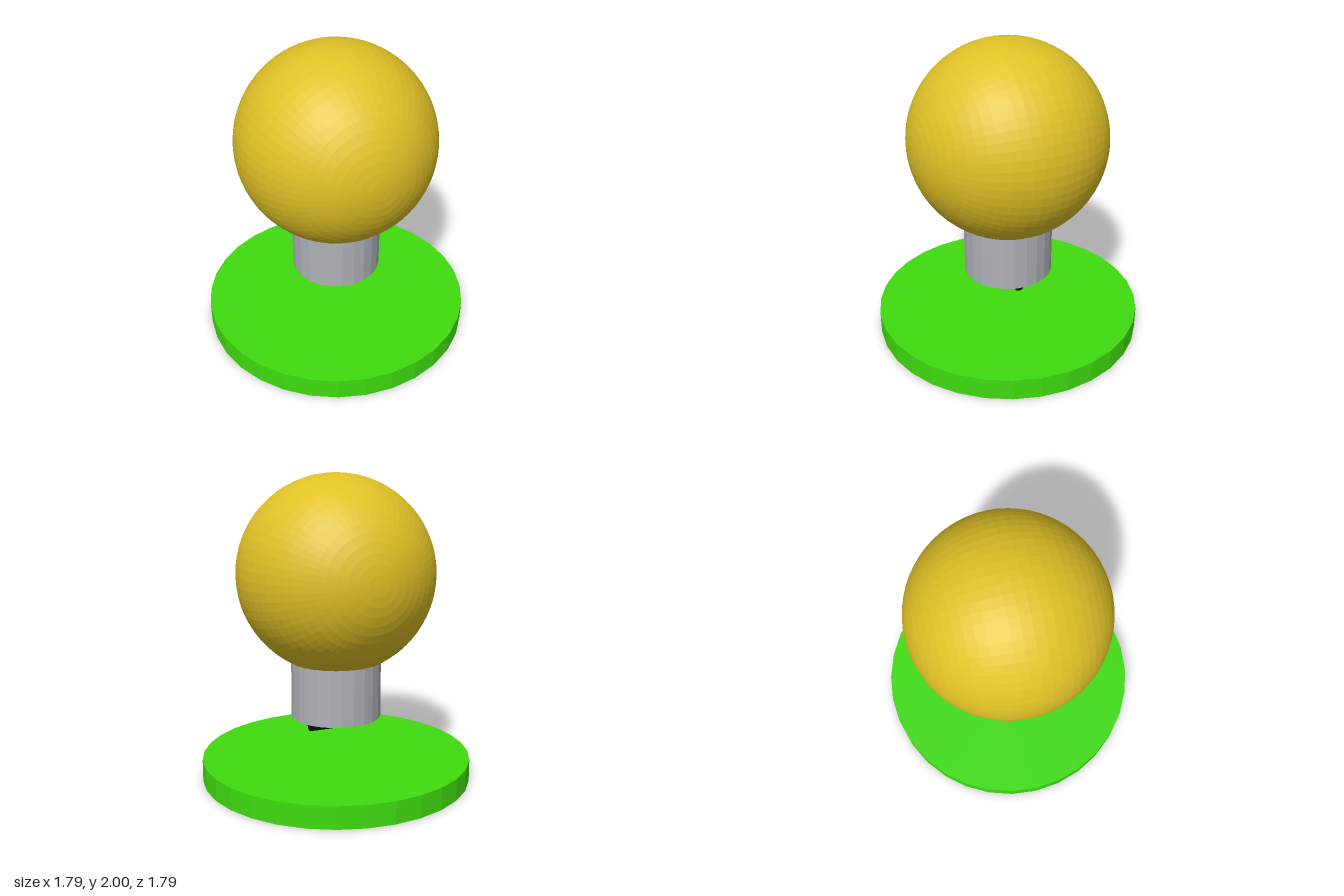
import * as THREE from 'three';

export function createModel() {
  const model = new THREE.Group();
  const paint = (name, color) => {
    const m = new THREE.MeshStandardMaterial({ color });
    m.name = name;
    m.flatShading = true;
    return m;
  };
  const green = paint('green', 0x3fdc0f);
  const grey = paint('grey', 0xaeb2b7);
  const black = paint('black', 0x111114);
  const yellow = paint('yellow', 0xe0c126);

  const add = (name, geometry, material, y) => {
    const mesh = new THREE.Mesh(geometry, material);
    mesh.name = name;
    mesh.position.y = y;
    model.add(mesh);
    return mesh;
  };

  // Round base plate
  add('base', new THREE.CylinderGeometry(0.893, 0.893, 0.143, 32), green, 0.0715);

  // Small pin lying along x, floating under the collar
  add('pin', new THREE.CylinderGeometry(0.04, 0.04, 0.38, 24).rotateZ(Math.PI / 2), black, 0.35);

  // Collar, its top sunk into the globe
  add('collar', new THREE.CylinderGeometry(0.298, 0.298, 0.39, 24), grey, 0.6);

  // Faceted globe with its poles on the z axis
  add('globe', new THREE.SphereGeometry(0.648, 64, 32).rotateX(Math.PI / 2), yellow, 1.352);

  return model;
}
